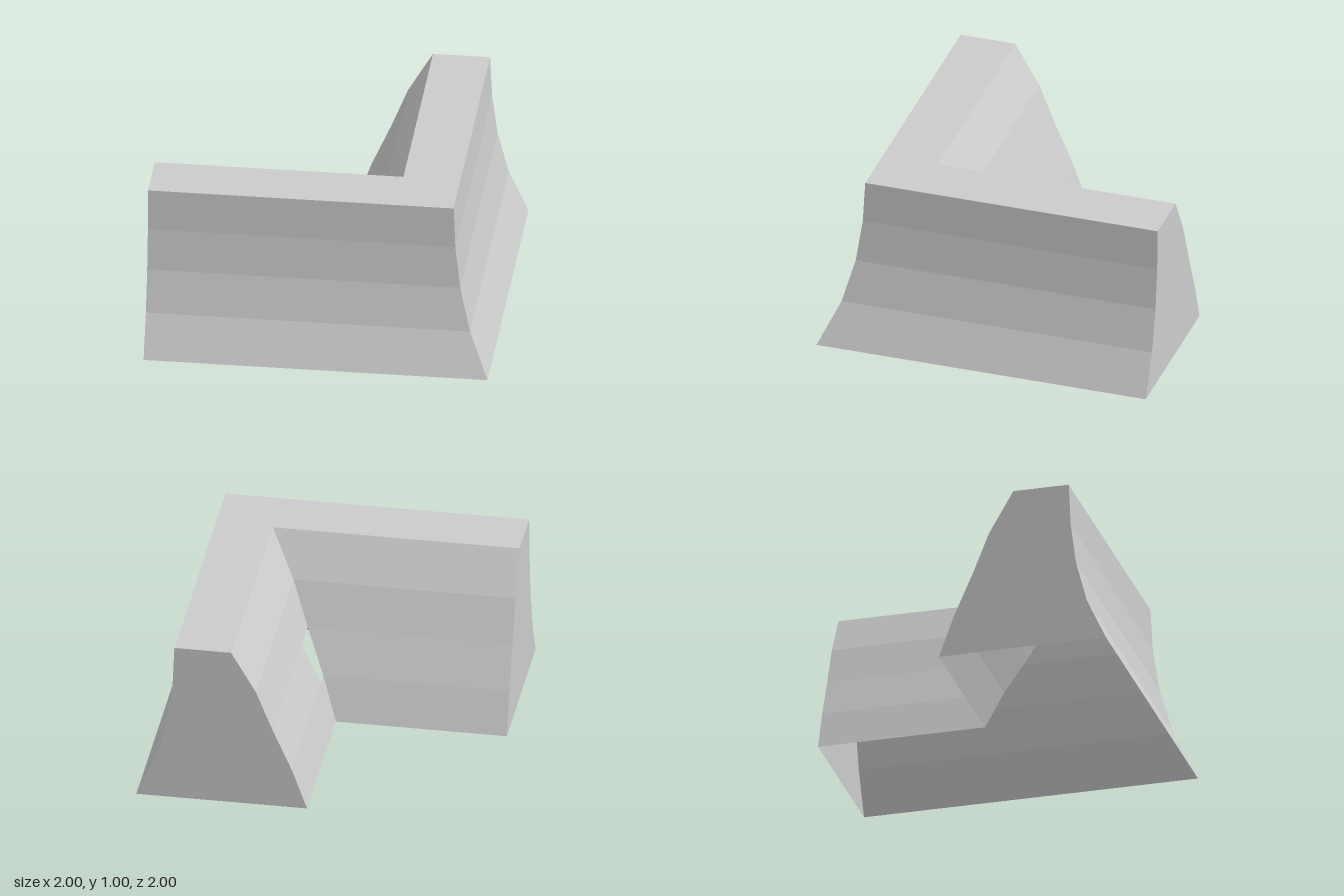
import * as THREE from 'three';

// Wall cross-section: [distance from the inner corner, height]
const outer = [[1, 0], [0.885, 0.25], [0.82, 0.5], [0.788, 0.75], [0.777, 1]];
const inner = [[0, 0], [0.09, 0.25], [0.2, 0.5], [0.3, 0.75], [0.445, 1]];

const material = new THREE.MeshStandardMaterial({
  color: 0xcccccc, flatShading: true, side: THREE.DoubleSide,
});

// Collects quads; mirrored swaps x and z so one rule serves both arms
function quadMesh(name, mirrored, quads) {
  const positions = [];
  for (const quad of quads) {
    const pts = mirrored ? quad.map(([x, y, z]) => [z, y, x]).reverse() : quad;
    for (const i of [0, 1, 2, 0, 2, 3]) positions.push(...pts[i]);
  }
  const geometry = new THREE.BufferGeometry();
  geometry.setAttribute('position', new THREE.Float32BufferAttribute(positions, 3));
  geometry.computeVertexNormals();
  const mesh = new THREE.Mesh(geometry, material);
  mesh.name = name;
  return mesh;
}

// One profile band, from a fixed start to the mitre (or to a fixed end)
function band([d0, y0], [d1, y1], start, end) {
  return [[d0, y0, start], [d1, y1, start], [d1, y1, end ?? d1], [d0, y0, end ?? d0]];
}

function createArm(name, mirrored, hasOpening) {
  const arm = new THREE.Group();
  arm.name = name;
  const outerFace = [], innerFace = [], endCap = [];
  for (let i = 0; i < 4; i++) {
    outerFace.push(band(outer[i], outer[i + 1], -1));
    innerFace.push(band(inner[i + 1], inner[i], -1, 0));
    // Small opening beside the inside corner
    if (!(hasOpening && i === 1)) innerFace.push(band(inner[i + 1], inner[i], 0));
    endCap.push([outer[i], inner[i], inner[i + 1], outer[i + 1]].map(([d, y]) => [d, y, -1]));
  }
  arm.add(
    quadMesh('outerFace', mirrored, outerFace),
    quadMesh('innerFace', mirrored, innerFace),
    quadMesh('wallTop', mirrored, [band(outer[4], inner[4], -1)]),
    quadMesh('endCap', mirrored, endCap),
  );
  return arm;
}

// Hollow corner wall, open underneath
export function createModel() {
  const model = new THREE.Group();
  model.name = 'cornerWall';
  model.add(createArm('sideArm', false, true), createArm('frontArm', true, false));
  return model;
}
